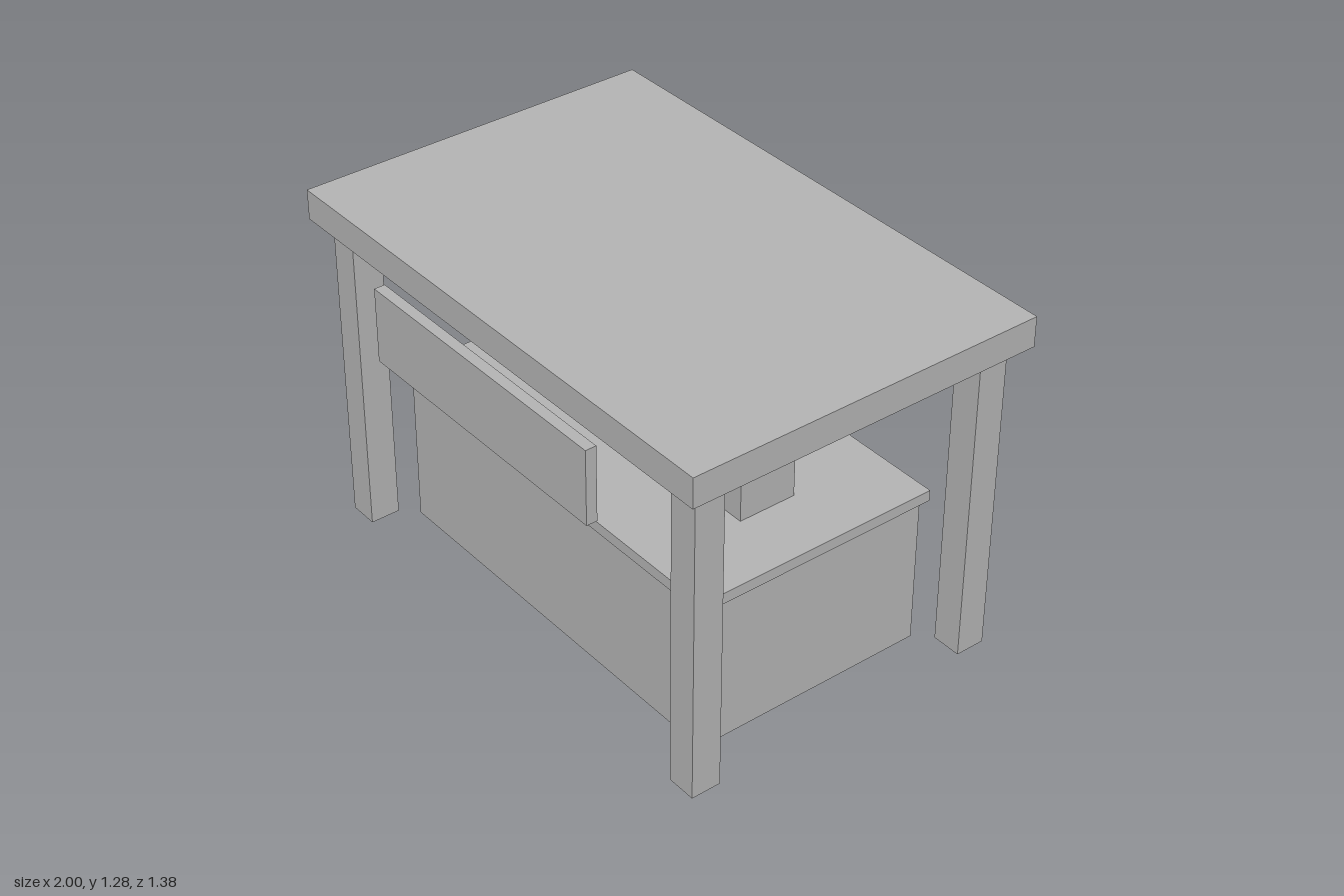
import * as THREE from 'three';

export function createModel() {
  const stall = new THREE.Group();
  stall.name = 'marketStall';
  const grey = new THREE.MeshStandardMaterial({ color: 0xb3b3b3 });
  grey.name = 'plain grey';

  function add(name, geometry, x, y, z) {
    const mesh = new THREE.Mesh(geometry, grey);
    mesh.name = name;
    mesh.position.set(x, y, z);
    stall.add(mesh);
  }

  // Box given by its extents along each axis
  function box(name, [x0, x1], [y0, y1], [z0, z1]) {
    add(name, new THREE.BoxGeometry(x1 - x0, y1 - y0, z1 - z0),
      (x0 + x1) / 2, (y0 + y1) / 2, (z0 + z1) / 2);
  }

  // Canopy and its four posts
  box('roof', [-1, 1], [1.17, 1.28], [-0.688, 0.645]);
  for (const [side, x] of [['left', 0.888], ['right', -0.888]]) {
    for (const [end, z] of [['Front', 0.535], ['Back', -0.577]]) {
      box(side + end + 'Post', [x - 0.055, x + 0.055], [0, 1.17], [z - 0.055, z + 0.055]);
    }
  }

  // Counter with overhanging top
  box('counter', [-0.778, 0.778], [0, 0.56], [-0.465, 0.425]);
  box('counterTop', [-0.8, 0.8], [0.56, 0.6], [-0.487, 0.445]);

  // Blank sign board in front of the roof edge
  box('signBoard', [-0.555, 0.555], [0.865, 1.14], [0.648, 0.688]);

  // Goods on the counter
  box('crate', [0.333, 0.553], [0.6, 0.78], [-0.13, 0.09]);
  [[-0.449, 0.045], [-0.282, 0.09], [-0.115, 0.135]].forEach(([x, height], i) => {
    // Unindexed so each of the ten sides is flat
    const jar = new THREE.CylinderGeometry(0.065, 0.065, height, 10).toNonIndexed();
    jar.computeVertexNormals();
    add('jar' + (i + 1), jar, x, 0.6 + height / 2, 0.09);
  });

  return stall;
}
